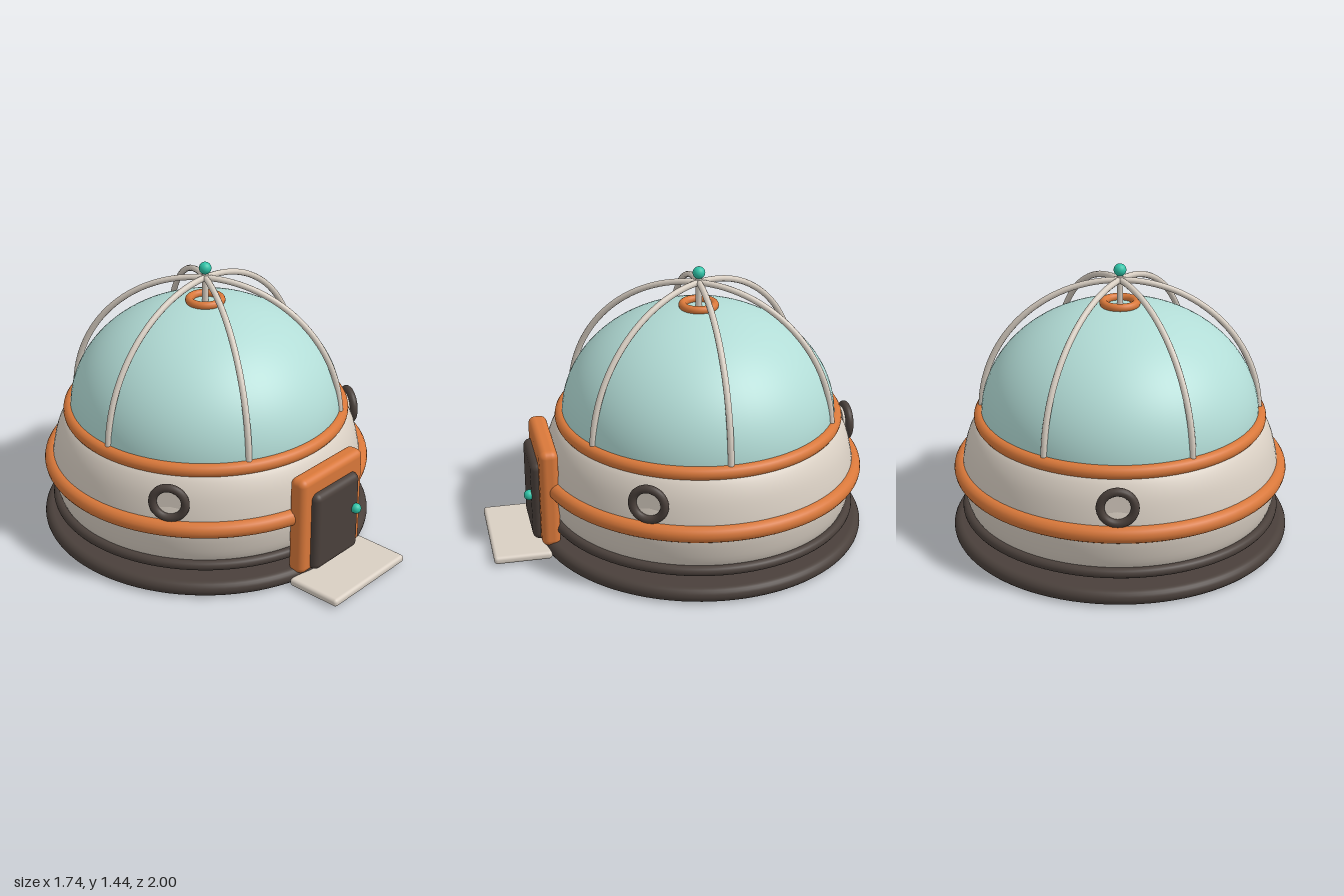
import * as THREE from 'three';
import { RoundedBoxGeometry } from 'three/addons/geometries/RoundedBoxGeometry.js';

const mat = (name, color, side = THREE.FrontSide) => {
  const m = new THREE.MeshStandardMaterial({ color, side });
  m.name = name;
  return m;
};

export function createModel() {
  const cream = mat('cream', 0xd9cfc3, THREE.DoubleSide);
  const orange = mat('orange', 0xd9783a);
  const dark = mat('dark brown', 0x4a403b);
  const glass = mat('pale glass', 0xb2dcd6);
  const teal = mat('teal', 0x2fc4a8);

  const model = new THREE.Group();
  model.name = 'domeHabitat';
  const round = new THREE.Group(); // everything turned about the dome axis
  round.name = 'domeBuilding';
  round.position.z = -0.127;
  model.add(round);

  const add = (parent, name, geo, material, x = 0, y = 0, z = 0) => {
    const mesh = new THREE.Mesh(geo, material);
    mesh.name = name;
    mesh.position.set(x, y, z);
    parent.add(mesh);
    return mesh;
  };
  const hoop = (name, radius, tube, y, material) => {
    add(round, name, new THREE.TorusGeometry(radius, tube, 16, 96), material, 0, y).rotation.x = Math.PI / 2;
  };

  // Foundation slab with a rounded rim
  const slab = [new THREE.Vector2(0, 0)];
  for (let i = 0; i <= 10; i++) {
    const a = -Math.PI / 2 + (i / 10) * Math.PI;
    slab.push(new THREE.Vector2(0.833 + 0.039 * Math.cos(a), 0.039 + 0.039 * Math.sin(a)));
  }
  slab.push(new THREE.Vector2(0, 0.078));
  add(round, 'foundation', new THREE.LatheGeometry(slab, 96), dark);

  // Bulging wall
  const wall = new THREE.SplineCurve([
    [0.67, 0.06], [0.74, 0.11], [0.79, 0.18], [0.814, 0.28], [0.818, 0.36],
    [0.806, 0.45], [0.782, 0.54], [0.745, 0.61], [0.7, 0.65],
  ].map(([r, y]) => new THREE.Vector2(r, y)));
  add(round, 'wall', new THREE.LatheGeometry(wall.getPoints(32), 96), cream);

  // Hoops around the wall
  hoop('lowerHoop', 0.797, 0.026, 0.148, dark);
  hoop('middleBelt', 0.817, 0.043, 0.367, orange);
  hoop('domeCollar', 0.715, 0.035, 0.645, orange);

  // Glass dome
  const dome = new THREE.SphereGeometry(0.712, 72, 32, 0, Math.PI * 2, 0, Math.PI / 2);
  dome.scale(1, 0.815, 1);
  add(round, 'glassDome', dome, glass, 0, 0.65);
  hoop('topRing', 0.082, 0.021, 1.238, orange);

  // Three arches crossing over the dome
  for (let i = 0; i < 3; i++) {
    const arch = add(round, 'archRib', new THREE.TorusGeometry(0.713, 0.016, 10, 64, Math.PI), cream, 0, 0.645);
    arch.rotation.y = (i * Math.PI) / 3;
  }

  // Mast and beacon
  add(round, 'mast', new THREE.CylinderGeometry(0.016, 0.016, 0.19, 16), cream, 0, 1.305);
  add(round, 'beacon', new THREE.SphereGeometry(0.032, 24, 16), teal, 0, 1.41);

  // Portholes: two beside the front and one at the back
  for (const angle of [Math.PI / 3, -Math.PI / 3, Math.PI]) {
    const porthole = new THREE.Group();
    porthole.name = 'porthole';
    porthole.rotation.y = angle;
    round.add(porthole);
    add(porthole, 'portholeRim', new THREE.TorusGeometry(0.083, 0.021, 14, 40), dark, 0, 0.507, 0.812);
    add(porthole, 'portholePane', new THREE.CylinderGeometry(0.077, 0.077, 0.02, 40), cream, 0, 0.507, 0.79)
      .rotation.x = Math.PI / 2;
  }

  // Entrance
  const entrance = new THREE.Group();
  entrance.name = 'entrance';
  model.add(entrance);
  add(entrance, 'doorFrame', new RoundedBoxGeometry(0.48, 0.54, 0.097, 5, 0.036), orange, 0, 0.323, 0.695);
  add(entrance, 'door', new RoundedBoxGeometry(0.346, 0.438, 0.08, 5, 0.036), dark, 0, 0.281, 0.742);
  add(entrance, 'doorKnob', new THREE.SphereGeometry(0.027, 20, 14), teal, 0.127, 0.312, 0.792);
  add(entrance, 'doorStep', new RoundedBoxGeometry(0.564, 0.042, 0.3, 4, 0.018), cream, 0, 0.027, 0.85);

  return model;
}
